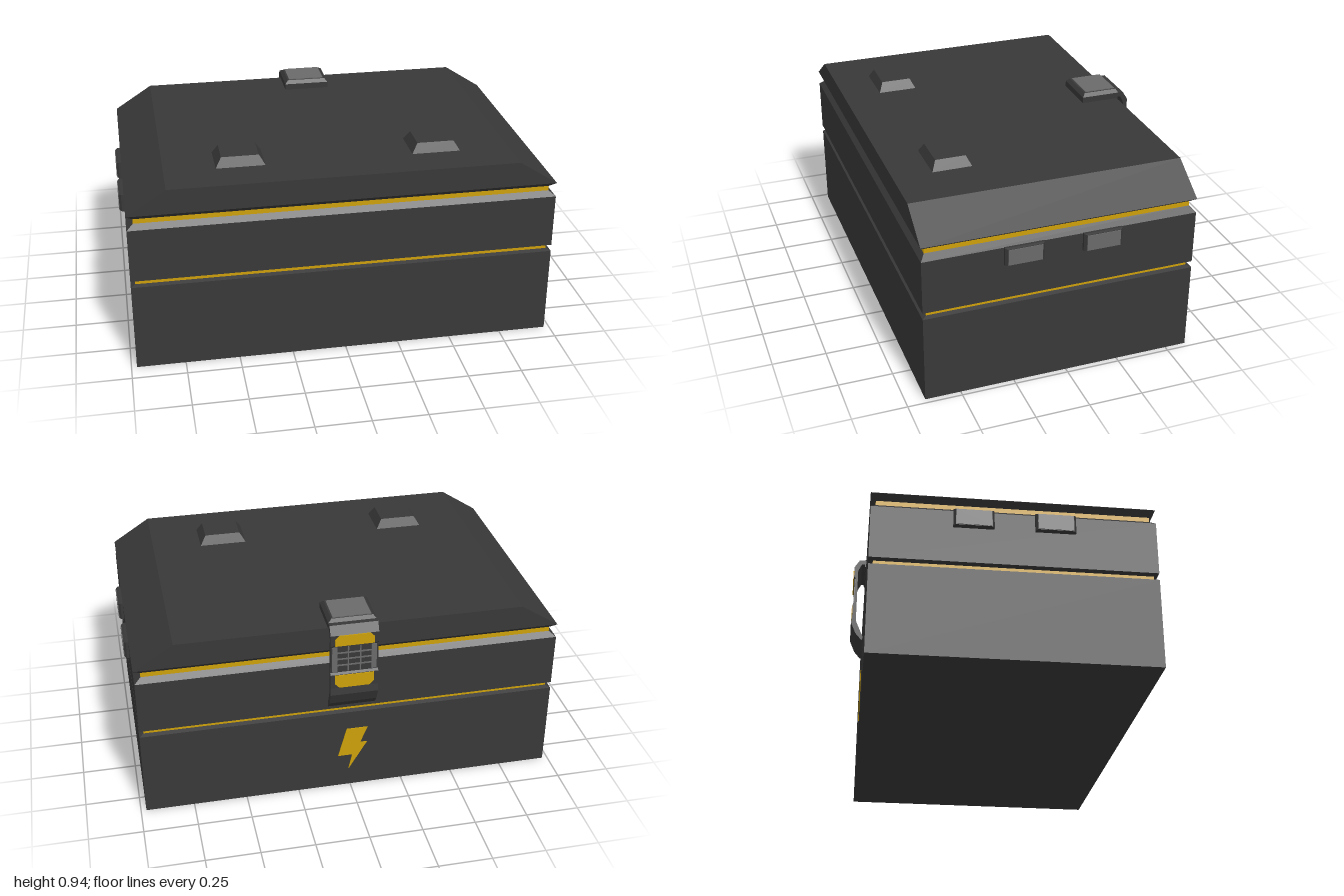
import * as THREE from 'three';

const mat = (name, color, extra = {}) => {
  const m = new THREE.MeshStandardMaterial({ color, ...extra });
  m.name = name;
  return m;
};

// Stack of rectangles [y, x0, x1, z0, z1] joined by flat faces, closed at both ends
function loft(levels) {
  const pos = [];
  const quad = (a, b, c, d) => [a, b, c, a, c, d].forEach((p) => pos.push(...p));
  const rings = levels.map(([y, x0, x1, z0, z1]) => [[x0, y, z1], [x1, y, z1], [x1, y, z0], [x0, y, z0]]);
  for (let i = 0; i < rings.length - 1; i++) {
    const lo = rings[i], hi = rings[i + 1];
    for (let k = 0; k < 4; k++) {
      const n = (k + 1) % 4;
      quad(lo[k], lo[n], hi[n], hi[k]);
    }
  }
  const b = rings[0], t = rings[rings.length - 1];
  quad(b[3], b[2], b[1], b[0]);
  quad(t[0], t[1], t[2], t[3]);
  const g = new THREE.BufferGeometry();
  g.setAttribute('position', new THREE.Float32BufferAttribute(pos, 3));
  g.computeVertexNormals();
  return g;
}

// Level centred on the origin
const mid = (y, w, d) => [y, -w / 2, w / 2, -d / 2, d / 2];
// Level of the case, inset from its outer walls
const X = 0.975, BACK = -0.6, FRONT = 0.663;
const wall = (y, ix = 0, iz = ix) => [y, -X + ix, X - ix, BACK + iz, FRONT - iz];

const shapeOf = (pts) => new THREE.Shape(pts.map(([x, y]) => new THREE.Vector2(x, y)));

export function createModel() {
  const model = new THREE.Group();
  const dark = mat('charcoal', 0x383838);
  const gold = mat('gold', 0xcda00a);
  const grey = mat('grey', 0x6a6a6a);

  const add = (name, geometry, material, parent = model) => {
    const mesh = new THREE.Mesh(geometry, material);
    mesh.name = name;
    parent.add(mesh);
    return mesh;
  };

  // Case: lower body, middle section and lid, with gold bands in the grooves
  add('lowerBody', loft([wall(0), wall(0.418), wall(0.425, 0.02)]), dark);
  add('lowerBand', loft([wall(0.425, 0.02), wall(0.443, 0.02)]), gold);
  add('middleSection', loft([wall(0.443, 0.02), wall(0.45), wall(0.702), wall(0.726, 0.03, 0.022)]), dark);
  add('upperBand', loft([wall(0.726, 0.03, 0.022), wall(0.748, 0.03, 0.022)]), gold);
  add('lid', loft([wall(0.748, 0.03, 0.022), wall(0.77), wall(0.886, 0.18, 0)]), dark);

  // Two raised feet on the lid, and two grips on each end
  for (const side of [-1, 1]) {
    const foot = add('lidFoot', loft([mid(0, 0.226, 0.184), mid(0.045, 0.17, 0.14)]), dark);
    foot.position.set(side * 0.45, 0.885, 0.392);

    for (const z of [0.21, -0.15]) {
      const grip = new THREE.Group();
      grip.name = 'sideGrip';
      add('gripFrame', loft([mid(0, 0.085, 0.18), mid(0.012, 0.085, 0.18), mid(0.022, 0.078, 0.16)]), dark, grip);
      add('gripFace', loft([mid(0.021, 0.074, 0.155), mid(0.025, 0.074, 0.155)]), grey, grip);
      grip.position.set(side * X, 0.662, z);
      grip.rotation.z = -side * Math.PI / 2;
      model.add(grip);
    }
  }

  // Latch: cap on the lid and a bent strap down the back
  const latch = new THREE.Group();
  latch.name = 'latch';
  model.add(latch);
  add('latchCap', loft([
    [0.88, -0.11, 0.11, -0.605, -0.42],
    [0.915, -0.11, 0.11, -0.608, -0.42],
    [0.931, -0.095, 0.095, -0.598, -0.435],
  ]), dark, latch);
  add('capFace', loft([
    [0.93, -0.088, 0.088, -0.594, -0.442],
    [0.935, -0.088, 0.088, -0.594, -0.442],
  ]), grey, latch);

  const strap = new THREE.ExtrudeGeometry(shapeOf([
    [0.595, 0.893], [0.62, 0.893], [0.638, 0.855], [0.638, 0.575], [0.6, 0.485], [0.607, 0.47],
    [0.638, 0.507], [0.662, 0.565], [0.657, 0.6], [0.657, 0.67], [0.65, 0.68], [0.65, 0.815],
    [0.657, 0.822], [0.657, 0.875], [0.632, 0.915], [0.595, 0.915],
  ]), { depth: 0.22, bevelEnabled: false });
  strap.translate(0, 0, -0.11).rotateY(Math.PI / 2);
  add('latchStrap', strap, dark, latch);

  // Thin plate facing the back; its outline runs left to right as seen from behind
  const backPlate = (name, pts, z, material, parent) => {
    const g = new THREE.ExtrudeGeometry(shapeOf(pts), { depth: 0.005, bevelEnabled: false });
    g.rotateY(Math.PI).translate(0, 0, z);
    return add(name, g, material, parent);
  };
  const bar = (name, x0, x1, y0, y1) =>
    backPlate(name, [[x0, y0], [x1, y0], [x1, y1], [x0, y1]], -0.649, grey, latch);

  // Gold pads above and below the grille, outer corners cut
  backPlate('upperPad', [
    [-0.09, 0.822], [0.09, 0.822], [0.09, 0.855], [0.07, 0.875], [-0.07, 0.875], [-0.09, 0.855],
  ], -0.656, gold, latch);
  backPlate('lowerPad', [
    [-0.09, 0.668], [-0.09, 0.625], [-0.07, 0.603], [0.07, 0.603], [0.09, 0.625], [0.09, 0.668],
  ], -0.656, gold, latch);

  // Grille between the pads
  for (const s of [-1, 1]) {
    bar('grilleSide', s * 0.09 - 0.012, s * 0.09 + 0.012, 0.685, 0.812);
    bar('grilleUpright', s * 0.028 - 0.003, s * 0.028 + 0.003, 0.685, 0.812);
  }
  for (const y of [0.717, 0.749, 0.781]) bar('grilleBar', -0.078, 0.078, y - 0.003, y + 0.003);

  // Lightning bolt on the back wall
  backPlate('boltEmblem', [
    [-0.02, 0.325], [0.08, 0.325], [0.045, 0.24], [0.078, 0.24],
    [-0.01, 0.093], [0.008, 0.175], [-0.06, 0.175],
  ], BACK + 0.001, gold, model);

  return model;
}
